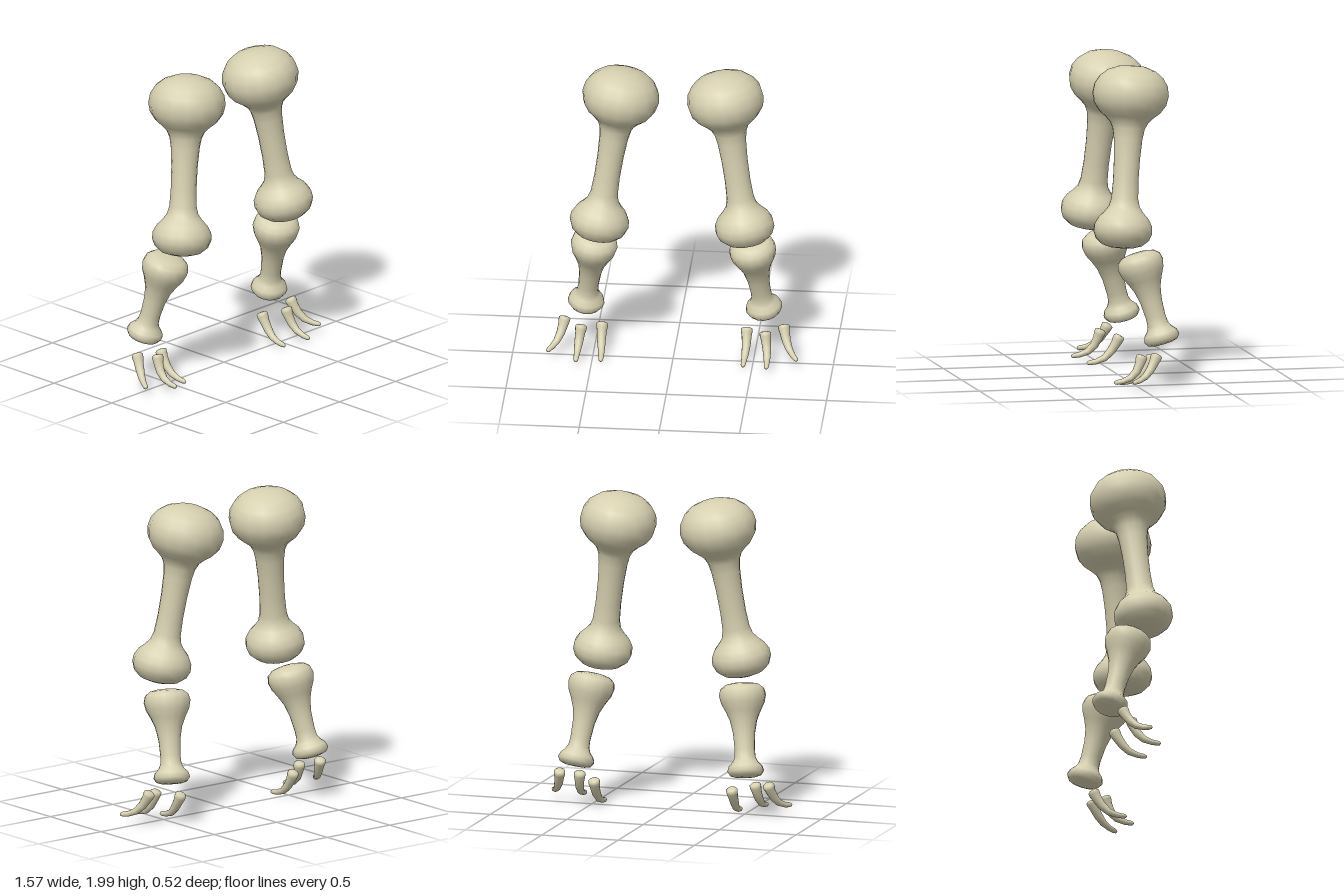
import * as THREE from 'three';
import { mergeVertices } from 'three/addons/utils/BufferGeometryUtils.js';

const bone = new THREE.MeshStandardMaterial({ color: 0xd6d0b0 });
bone.name = 'bone';

// Sweeps a round [distance, radius] profile along a curve; the profile's last distance maps to the curve's end.
function sweep(profile, curve, sides) {
  const length = profile[profile.length - 1][0];
  const points = profile.map(([d, r]) => new THREE.Vector2(r, d / length));
  let geometry = new THREE.LatheGeometry(points, sides);
  const pos = geometry.attributes.position;
  const n = new THREE.Vector3(), b = new THREE.Vector3();
  for (let i = 0; i < pos.count; i++) {
    const t = Math.min(1, Math.max(0, pos.getY(i)));
    const tangent = curve.getTangentAt(t);
    n.set(1, 0, 0).addScaledVector(tangent, -tangent.x).normalize();
    b.crossVectors(n, tangent);
    const p = curve.getPointAt(t).addScaledVector(n, pos.getX(i)).addScaledVector(b, pos.getZ(i));
    pos.setXYZ(i, p.x, p.y, p.z);
  }
  geometry.deleteAttribute('uv');
  geometry.deleteAttribute('normal');
  geometry = mergeVertices(geometry, 1e-5);
  geometry.computeVertexNormals();
  return geometry;
}

// Profiles run from the lower end to the upper end
const upperProfile = [
  [0, 0], [0.004, 0.07], [0.02, 0.125], [0.055, 0.167], [0.1, 0.185], [0.145, 0.182],
  [0.19, 0.158], [0.225, 0.124], [0.26, 0.098], [0.31, 0.085], [0.42, 0.08], [0.56, 0.082],
  [0.68, 0.09], [0.745, 0.101], [0.785, 0.12], [0.815, 0.15], [0.85, 0.193], [0.9, 0.228],
  [0.96, 0.241], [1.02, 0.231], [1.07, 0.2], [1.11, 0.15], [1.135, 0.08], [1.14, 0],
];
const lowerProfile = [
  [0, 0], [0.003, 0.06], [0.014, 0.097], [0.042, 0.115], [0.072, 0.106], [0.1, 0.08],
  [0.13, 0.066], [0.18, 0.063], [0.28, 0.069], [0.36, 0.085], [0.42, 0.11], [0.47, 0.136],
  [0.52, 0.147], [0.56, 0.137], [0.586, 0.105], [0.597, 0.055], [0.6, 0],
];
// Fingers run from knuckle to tip
const fingerProfile = [
  [0, 0], [0.01, 0.025], [0.04, 0.036], [0.1, 0.036], [0.2, 0.031], [0.4, 0.027],
  [0.6, 0.022], [0.8, 0.017], [0.93, 0.015], [0.98, 0.01], [1, 0],
];
const fingers = {
  innerFinger: [[0.45, 0.19, -0.115], [0.452, 0.1, -0.065], [0.447, 0.04, 0], [0.443, 0.02, 0.1]],
  middleFinger: [[0.572, 0.212, -0.022], [0.585, 0.12, 0.013], [0.592, 0.065, 0.07], [0.594, 0.045, 0.165]],
  outerFinger: [[0.68, 0.23, -0.093], [0.703, 0.14, -0.045], [0.735, 0.087, 0.01], [0.78, 0.068, 0.085]],
};

function createArm(name, side) {
  const arm = new THREE.Group();
  arm.name = name;
  const v = ([x, y, z]) => new THREE.Vector3(x * side, y, z);
  const add = (part, geometry) => {
    const mesh = new THREE.Mesh(geometry, bone);
    mesh.name = part;
    arm.add(mesh);
  };

  // Long upper bone with a large round head
  const upper = new THREE.LineCurve3(v([0.47, 0.87, 0.085]), v([0.3, 1.992, -0.02]));
  add('upperArmBone', sweep(upperProfile, upper, 16));

  // Short forearm bone, leaning back
  const lower = new THREE.LineCurve3(v([0.56, 0.274, -0.16]), v([0.484, 0.845, -0.008]));
  add('forearmBone', sweep(lowerProfile, lower, 16));

  // Three curved, tapering fingers
  for (const [part, path] of Object.entries(fingers)) {
    add(part, sweep(fingerProfile, new THREE.CatmullRomCurve3(path.map(v)), 12));
  }
  return arm;
}

export function createModel() {
  const model = new THREE.Group();
  model.name = 'boneArms';
  model.add(createArm('leftArm', 1), createArm('rightArm', -1));
  return model;
}
